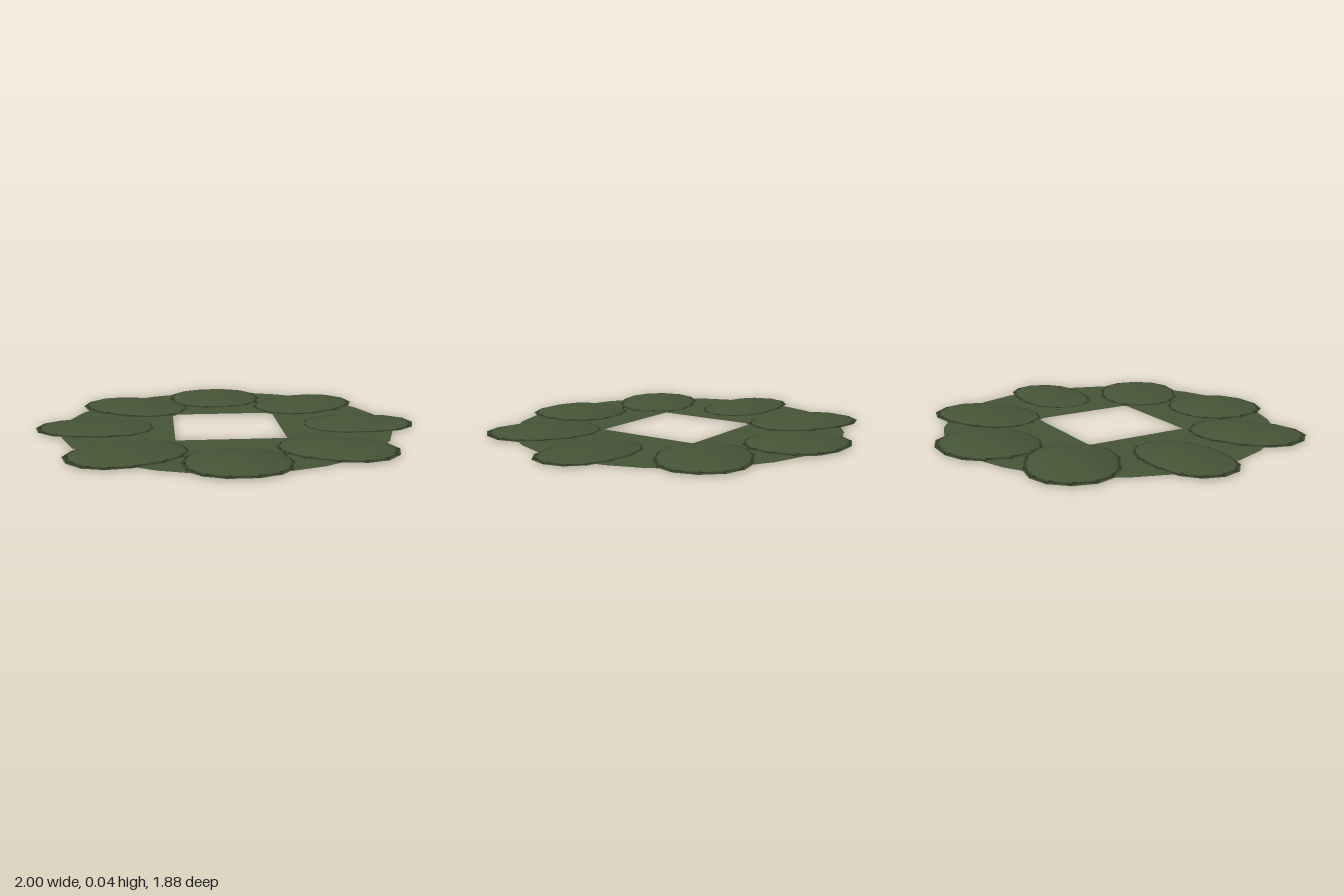
import * as THREE from 'three';

const leafGreen = new THREE.MeshStandardMaterial({ color: 0x465537, side: THREE.DoubleSide });
leafGreen.name = 'leafGreen';

// Flat round plate with a square opening
function makeBase() {
  const sides = 28, radius = 0.865, y = 0.003, half = 0.28;
  const shape = new THREE.Shape();
  for (let i = 0; i < sides; i++) {
    const a = (i / sides) * Math.PI * 2;
    shape[i ? 'lineTo' : 'moveTo'](Math.cos(a) * radius, Math.sin(a) * radius);
  }
  const hole = new THREE.Path();
  hole.moveTo(-half, -half).lineTo(-half, half).lineTo(half, half).lineTo(half, -half);
  shape.holes.push(hole);
  const mesh = new THREE.Mesh(new THREE.ShapeGeometry(shape).rotateX(-Math.PI / 2).translate(0, y, 0), leafGreen);
  mesh.name = 'basePlate';
  return mesh;
}

// Thin closed cushion: domed top over a base that rises slightly outwards
function makePad({ x, z, a, b, turn, h }) {
  const sides = 14, levels = [0.25, 0.5, 0.72, 0.9, 1];
  const positions = [], index = [];
  const out = Math.hypot(x, z);
  const add = (r, t, top) => {
    const c = Math.cos(t), s = Math.sin(t), power = 0.88;
    const u = Math.sign(c) * Math.abs(c) ** power * a * r;
    const v = Math.sign(s) * Math.abs(s) ** power * b * r;
    const dx = u * Math.cos(turn) - v * Math.sin(turn);
    const dz = u * Math.sin(turn) + v * Math.cos(turn);
    const outward = (dx * x + dz * z) / out / a;
    const base = 0.004 + 0.004 * outward;
    const dome = top ? (h - 0.004) * (1 - r * r) ** 0.9 : 0;
    positions.push(x + dx, base + dome, z + dz);
  };
  // Top centre, rings out to the rim, then the underside centre
  add(0, 0, true);
  for (const r of levels)
    for (let i = 0; i < sides; i++) add(r, (i / sides) * Math.PI * 2, true);
  add(0, 0, false);
  const rim = 1 + (levels.length - 1) * sides, bottom = rim + sides;
  for (let i = 0; i < sides; i++) {
    const j = (i + 1) % sides;
    index.push(0, 1 + j, 1 + i, bottom, rim + i, rim + j);
    for (let k = 0; k < levels.length - 1; k++) {
      const p = 1 + k * sides, q = p + sides;
      index.push(p + i, p + j, q + i, p + j, q + j, q + i);
    }
  }
  const geometry = new THREE.BufferGeometry();
  geometry.setAttribute('position', new THREE.Float32BufferAttribute(positions, 3));
  geometry.setIndex(index);
  geometry.computeVertexNormals();
  return new THREE.Mesh(geometry, leafGreen);
}

export function createModel() {
  const model = new THREE.Group();
  model.name = 'padWreath';
  model.add(makeBase());

  // Eight slightly different pads around the plate
  const pads = {
    backPad: { x: -0.015, z: -0.69, a: 0.275, b: 0.26, turn: 0, h: 0.037 },
    backLeftPad: { x: 0.485, z: -0.48, a: 0.31, b: 0.235, turn: -0.5, h: 0.032 },
    leftPad: { x: 0.695, z: 0.015, a: 0.305, b: 0.205, turn: 0.03, h: 0.025 },
    frontLeftPad: { x: 0.485, z: 0.5, a: 0.305, b: 0.23, turn: 0.5, h: 0.032 },
    frontPad: { x: -0.01, z: 0.69, a: 0.262, b: 0.256, turn: 0, h: 0.038 },
    frontRightPad: { x: -0.51, z: 0.505, a: 0.31, b: 0.23, turn: -0.5, h: 0.034 },
    rightPad: { x: -0.685, z: -0.005, a: 0.315, b: 0.205, turn: 0.03, h: 0.03 },
    backRightPad: { x: -0.485, z: -0.485, a: 0.315, b: 0.23, turn: 0.5, h: 0.038 },
  };
  for (const [name, options] of Object.entries(pads)) {
    const pad = makePad(options);
    pad.name = name;
    model.add(pad);
  }
  return model;
}
